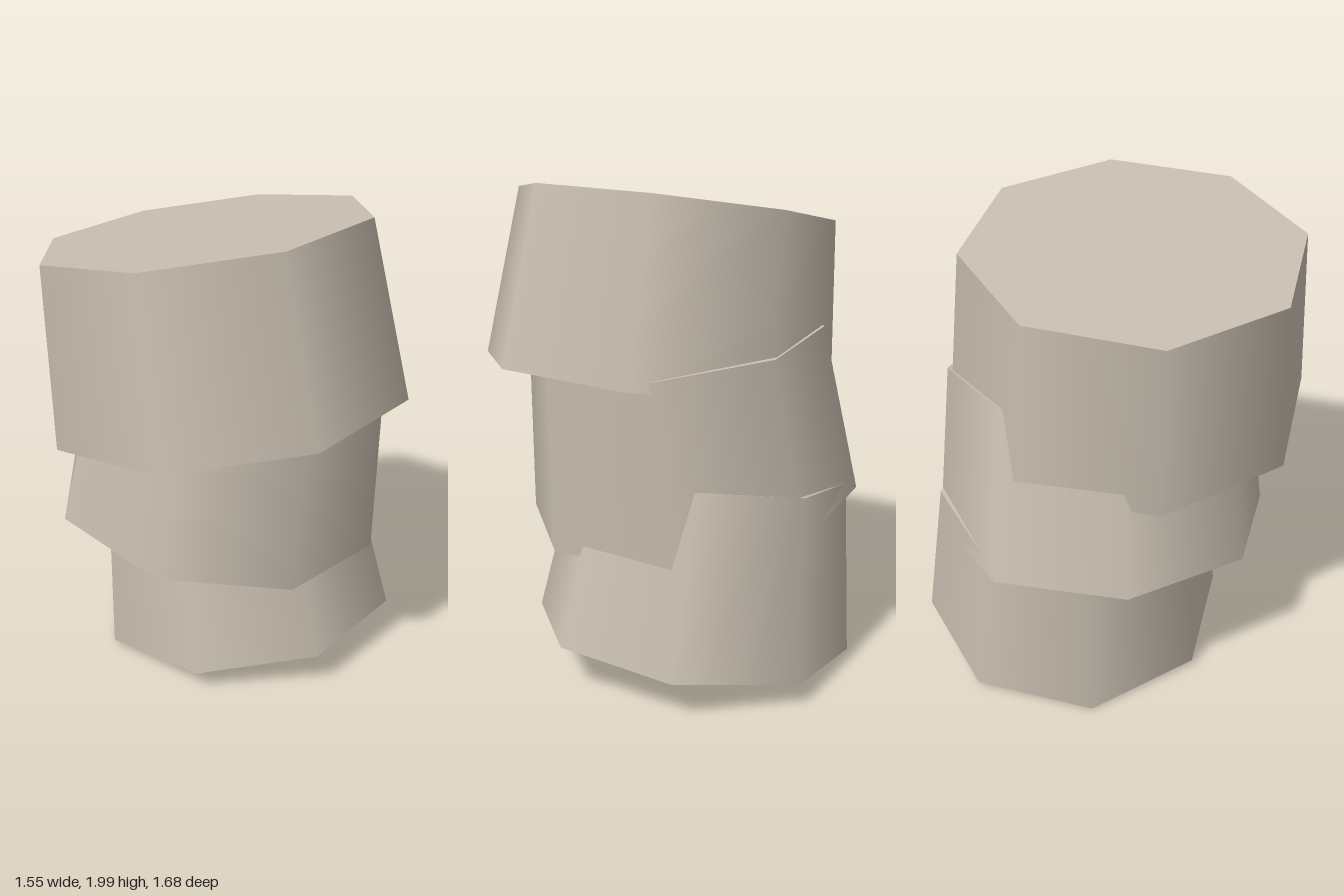
import * as THREE from 'three';

export function createModel() {
  const model = new THREE.Group();
  model.name = 'stackedColumn';

  const stone = new THREE.MeshStandardMaterial({ color: 0xc8beb0 });
  stone.name = 'pale stone';

  // Tapered eight-sided drums, stacked with alternating sideways tilts
  const height = 0.722;
  const tilt = 0.14;
  const drums = [
    { name: 'lowerDrum', top: 0.574, bottom: 0.676, lean: 1, at: [-0.02, 0.458, -0.168] },
    { name: 'middleDrum', top: 0.626, bottom: 0.713, lean: -1, at: [-0.02, 1.003, -0.04] },
    { name: 'upperDrum', top: 0.677, bottom: 0.752, lean: 1, at: [-0.02, 1.548, 0.088] },
  ];

  for (const drum of drums) {
    const mesh = new THREE.Mesh(new THREE.CylinderGeometry(drum.top, drum.bottom, height, 8), stone);
    mesh.name = drum.name;
    mesh.position.set(...drum.at);
    mesh.rotation.z = drum.lean * tilt;
    model.add(mesh);
  }

  return model;
}
